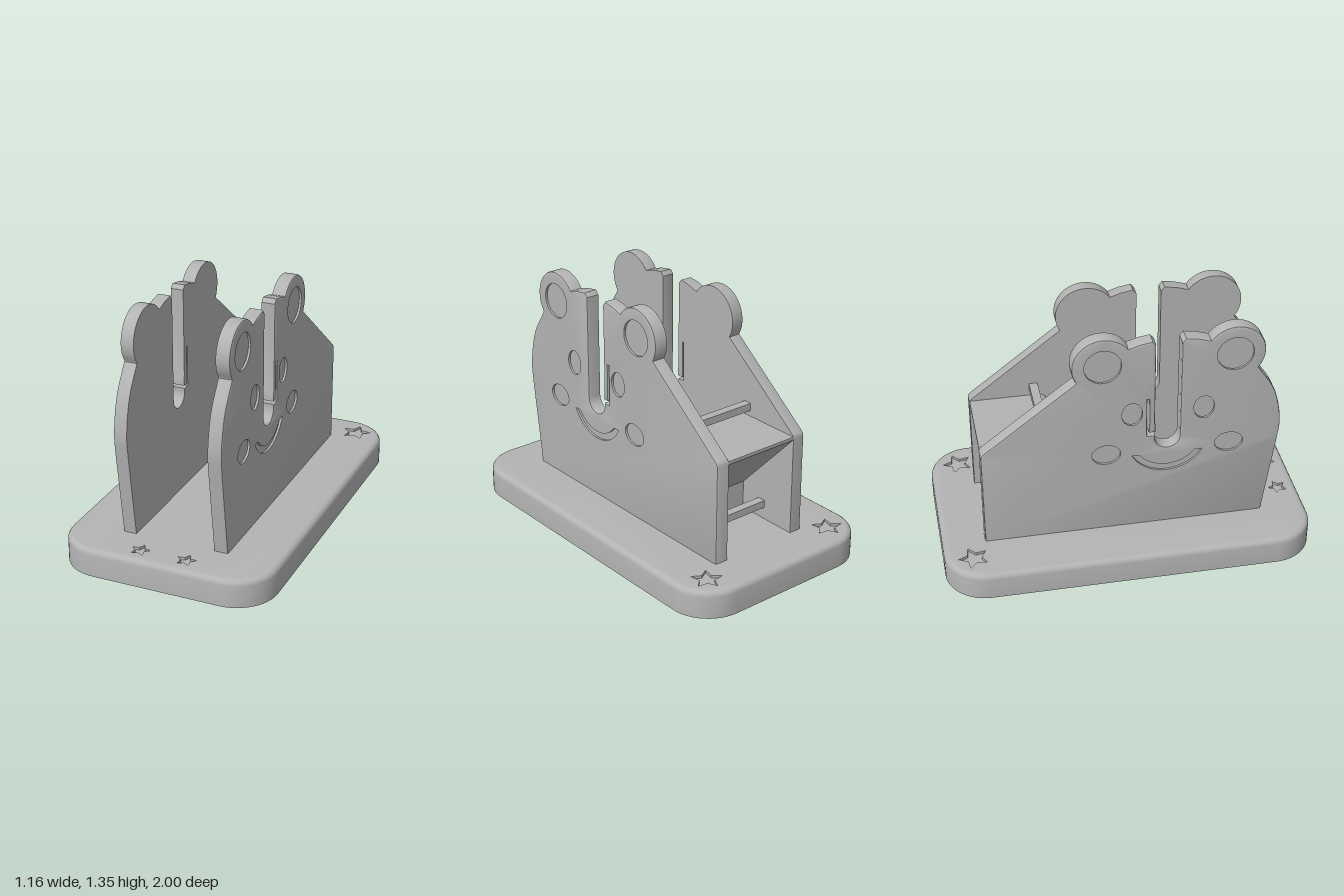
import * as THREE from 'three';
import { toCreasedNormals } from 'three/addons/utils/BufferGeometryUtils.js';

const grey = new THREE.MeshStandardMaterial({ color: 0xb3b3b3 });
grey.name = 'grey plastic';

const V = (x, y) => new THREE.Vector2(x, y);
const rad = THREE.MathUtils.degToRad;

// Points along an elliptical arc; angles in degrees
function arc(cx, cy, rx, ry, a0, a1, n) {
  return Array.from({ length: n + 1 }, (_, i) => {
    const a = rad(a0 + ((a1 - a0) * i) / n);
    return V(cx + rx * Math.cos(a), cy + ry * Math.sin(a));
  });
}
const ellipse = (cx, cy, rx, ry = rx) => arc(cx, cy, rx, ry, 0, 360, 40).slice(0, -1);

function star(cx, cy, r) {
  return Array.from({ length: 10 }, (_, i) => {
    const a = Math.PI / 2 + (i * Math.PI) / 5, q = i % 2 ? r * 0.48 : r;
    return V(cx + q * Math.cos(a), cy + q * Math.sin(a));
  });
}

const ccw = (pts) => (THREE.ShapeUtils.isClockWise(pts) ? pts.slice().reverse() : pts);

// Move a counter-clockwise outline inwards by d
function inset(pts, d) {
  const n = pts.length;
  const normal = (a, b) => V(a.y - b.y, b.x - a.x).normalize();
  return pts.map((p, i) => {
    const n1 = normal(pts[(i + n - 1) % n], p), n2 = normal(p, pts[(i + 1) % n]);
    const k = d / Math.max(0.5, 1 + n1.dot(n2));
    return V(p.x + (n1.x + n2.x) * k, p.y + (n1.y + n2.y) * k);
  });
}

// Slab along z from rows of [inset, height], with pockets sunk into top and bottom
function slab(outline, rows, topPockets = [], bottomPockets = []) {
  const pos = [];
  const base = ccw(outline).filter((p, i, a) => p.distanceTo(a[(i + 1) % a.length]) > 1e-4);
  const wall = (A, wa, B, wb) => A.forEach((a, i) => {
    const j = (i + 1) % A.length, a2 = A[j], b = B[i], b2 = B[j];
    pos.push(a.x, a.y, wa, a2.x, a2.y, wa, b2.x, b2.y, wb);
    pos.push(a.x, a.y, wa, b2.x, b2.y, wb, b.x, b.y, wb);
  });
  const cap = (contour, holes, w, up) => {
    const all = [contour, ...holes].flat();
    for (const [a, b, c] of THREE.ShapeUtils.triangulateShape(contour.slice(), holes.map((h) => h.slice())))
      for (const k of up ? [a, b, c] : [a, c, b]) pos.push(all[k].x, all[k].y, w);
  };
  const loops = rows.map(([d]) => (d ? inset(base, d) : base));
  for (let i = 0; i + 1 < rows.length; i++) wall(loops[i], rows[i][1], loops[i + 1], rows[i + 1][1]);
  const side = (loop, w, pockets, up) => {
    const holes = pockets.map((p) => ccw(p.pts));
    cap(loop, holes, w, up);
    pockets.forEach(({ depth }, i) => {
      const floor = up ? w - depth : w + depth;
      cap(holes[i], [], floor, up);
      wall(holes[i], Math.max(w, floor), holes[i], Math.min(w, floor));
    });
  };
  side(loops[0], rows[0][1], bottomPockets, false);
  side(loops.at(-1), rows.at(-1)[1], topPockets, true);
  const g = new THREE.BufferGeometry();
  g.setAttribute('position', new THREE.Float32BufferAttribute(pos, 3));
  return toCreasedNormals(g, 0.6);
}

// Straight wall from 0, then a rounded edge of radius r ending at height h
function roundedRows(h, r, n) {
  const rows = [[0, 0]];
  for (let i = 0; i <= n; i++) {
    const a = (i / n) * Math.PI / 2;
    rows.push([r * (1 - Math.cos(a)), h - r + r * Math.sin(a)]);
  }
  return rows;
}

function add(group, name, geometry) {
  const m = new THREE.Mesh(geometry, grey);
  m.name = name;
  group.add(m);
  return m;
}

// Rounded base with star pockets above and round pockets below
function baseGeometry() {
  const X = 0.58, Z = 1, r = 0.225, outline = [];
  [[1, 1], [-1, 1], [-1, -1], [1, -1]].forEach(([sx, sz], i) =>
    outline.push(...arc(sx * (X - r), sz * (Z - r), r, r, i * 90, i * 90 + 90, 12)));
  const stars = [], feet = [];
  for (const s of [-1, 1]) {
    stars.push({ pts: star(s * 0.42, 0.845, 0.083), depth: 0.015 });
    stars.push({ pts: star(s * 0.128, -0.895, 0.054), depth: 0.015 });
    for (const t of [-1, 1]) {
      feet.push({ pts: ellipse(s * 0.35, t * 0.55, 0.157), depth: 0.09 });
      feet.push({ pts: ellipse(s * 0.41, t * 0.83, 0.068), depth: 0.02 });
    }
  }
  return slab(outline, roundedRows(0.152, 0.03, 4), stars, feet).rotateX(-Math.PI / 2);
}

// Bear-head side panel, drawn as (z, y) points
function panelGeometry(s) {
  const chest = new THREE.CatmullRomCurve3(
    [[0.819, 0.62], [0.828, 0.74], [0.786, 0.937], [0.694, 1.086]].map(([z, y]) => new THREE.Vector3(z, y, 0)));
  const outline = [
    V(-0.77, 0.13), V(0.75, 0.13),
    ...chest.getPoints(14).map((p) => V(p.x, p.y)),
    ...arc(0.566, 1.188, 0.161, 0.161, -37, 145, 28),
    V(0.37, 1.3), V(0.303, 1.311), V(0.284, 1.288),
    // roll slot with its spring tab
    ...arc(0.217, 0.712, 0.067, 0.067, 0, -180, 16),
    V(0.15, 0.728), V(0.108, 0.728), V(0.108, 0.957), V(0.118, 0.957),
    V(0.118, 0.746), V(0.154, 0.746), V(0.154, 0.79), V(0.15, 0.8),
    V(0.15, 1.288), V(0.131, 1.311), V(0.065, 1.3),
    ...arc(-0.126, 1.188, 0.161, 0.161, 35, 211, 28),
    V(-0.753, 0.728), V(-0.766, 0.716), V(-0.77, 0.7),
  ];
  const smile = [
    ...arc(0.217, 0.709, 0.214, 0.214, 207.5, 332.5, 24),
    ...arc(0.217, 0.7225, 0.1875, 0.1875, 323, 217, 24),
  ];
  const marks = [smile];
  for (const t of [-1, 1]) {
    marks.push(ellipse(0.22 + t * 0.346, 1.188, 0.097));
    marks.push(ellipse(0.218 + t * 0.191, 0.877, 0.055, 0.069));
    marks.push(ellipse(0.22 + t * 0.33, 0.636, 0.077, 0.06));
  }
  const flip = (pts) => pts.map((p) => V(-s * p.x, p.y));
  return slab(flip(outline), roundedRows(0.075, 0.011, 2),
    marks.map((pts) => ({ pts: flip(pts), depth: 0.012 }))).rotateY(s * Math.PI / 2);
}

export function createModel() {
  const group = new THREE.Group();
  group.name = 'tapeDispenser';

  add(group, 'base', baseGeometry());

  for (const s of [1, -1])
    add(group, s > 0 ? 'leftBearPanel' : 'rightBearPanel', panelGeometry(s)).position.x = s * 0.221;

  // Wall with overhanging shelf between the panels
  const profile = [
    V(-0.4, 0.14), V(-0.345, 0.14),
    ...arc(-0.39, 0.667, 0.045, 0.045, 0, 90, 6),
    V(-0.768, 0.712), V(-0.768, 0.695), V(-0.4, 0.31),
  ].map((p) => V(-p.x, p.y));
  add(group, 'shelfWall', slab(profile, [[0, -0.224], [0, 0.224]]).rotateY(Math.PI / 2));

  // Cross bars
  const bar = (name, y, z) => add(group, name, new THREE.BoxGeometry(0.448, 0.042, 0.047)).position.set(0, y, z);
  bar('upperCrossBar', 0.765, -0.418);
  bar('lowerCrossBar', 0.24, -0.545);

  return group;
}
